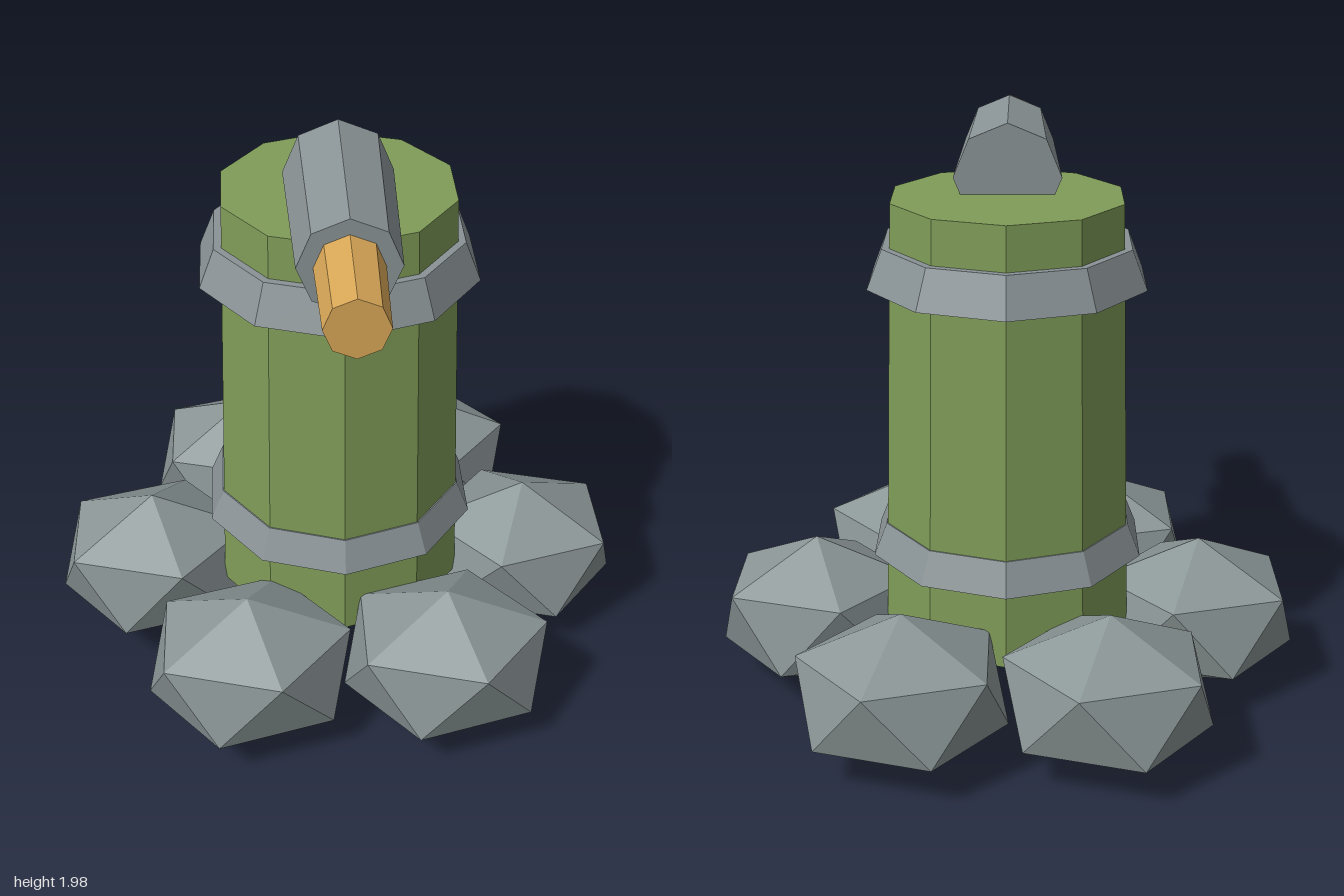
import * as THREE from 'three';

const mat = (name, color) => Object.assign(new THREE.MeshStandardMaterial({ color, flatShading: true }), { name });

export function createModel() {
  const green = mat('green', 0x7f9c58);
  const metal = mat('metal grey', 0x8a9396);
  const rock = mat('stone grey', 0x8a9596);
  const gold = mat('gold', 0xd9a757);

  const model = new THREE.Group();
  const axisZ = -0.045; // tower axis

  const add = (name, geometry, material, x, y, z) => {
    const mesh = new THREE.Mesh(geometry, material);
    mesh.name = name;
    mesh.position.set(x, y, z);
    model.add(mesh);
    return mesh;
  };

  // Upright ten-sided tapered section between two heights
  const section = (name, material, rTop, rBottom, y0, y1) =>
    add(name, new THREE.CylinderGeometry(rTop, rBottom, y1 - y0, 10), material, 0, (y0 + y1) / 2, axisZ);

  section('tower', green, 0.388, 0.432, 0.28, 1.755);
  section('upperBand', metal, 0.418, 0.47, 1.48, 1.61);
  section('lowerBand', metal, 0.425, 0.47, 0.55, 0.66);

  // Eight-sided tapered tube lying along z
  const tube = (name, material, rFront, rBack, z0, z1) =>
    add(name, new THREE.CylinderGeometry(rFront, rBack, z1 - z0, 8).rotateX(Math.PI / 2),
      material, 0, 1.81, (z0 + z1) / 2);

  tube('barrel', metal, 0.155, 0.175, -0.04, 0.56);
  tube('muzzle', gold, 0.095, 0.105, 0.55, 0.89);

  // Ring of six squashed stones, each standing on a corner
  const tilt = Math.atan(2 / (1 + Math.sqrt(5)));
  for (let i = 0; i < 6; i++) {
    const a = (i * Math.PI) / 3;
    const stone = new THREE.IcosahedronGeometry(1, 0)
      .rotateZ(i === 0 ? tilt : -tilt)
      .scale(0.38, 0.273, 0.33);
    add('stone' + (i + 1), stone, rock, 0.66 * Math.cos(a), 0.275, axisZ + 0.657 * Math.sin(a));
  }

  return model;
}
